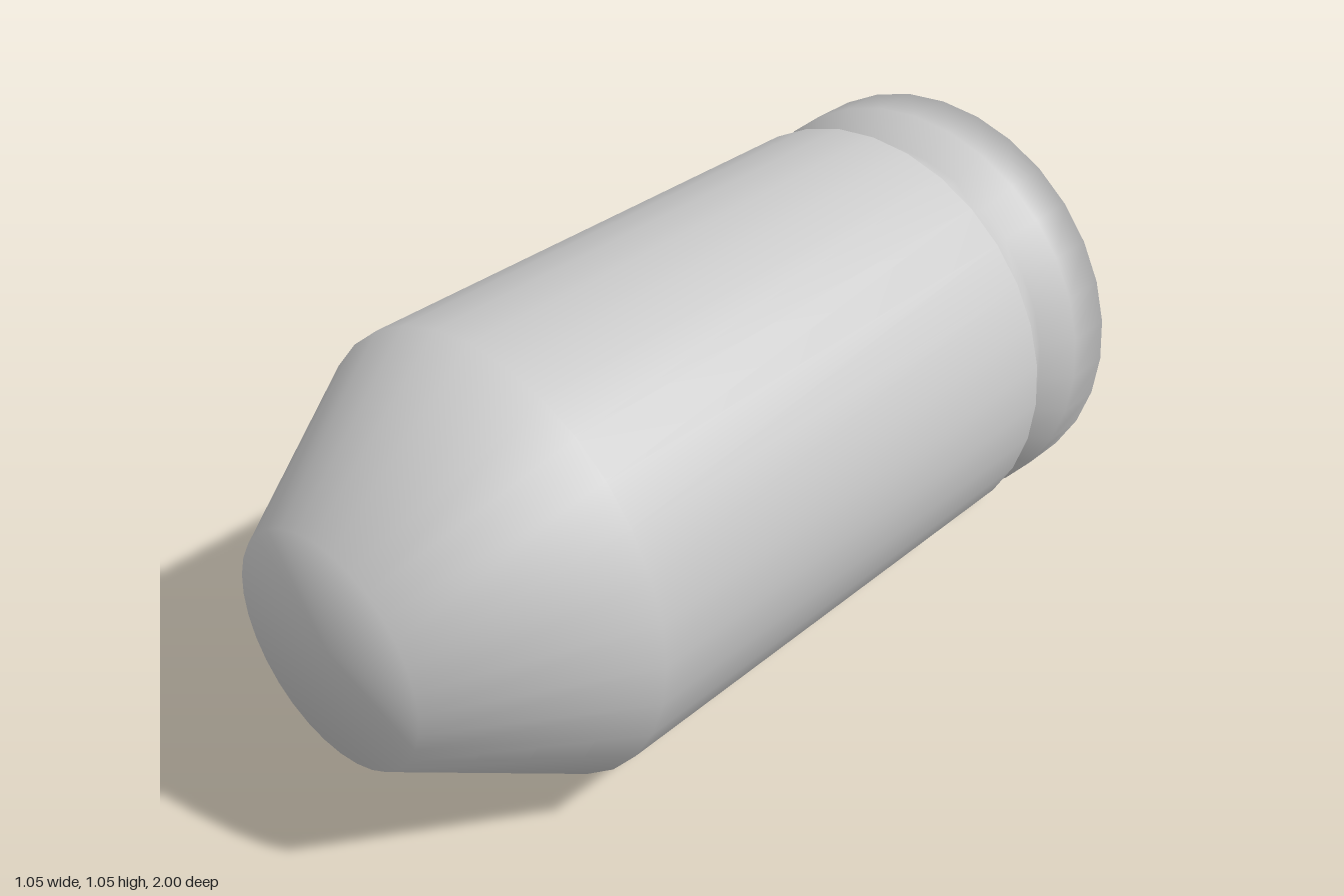
import * as THREE from 'three';

const SIDES = 32;
const RADIUS = 0.526;

// Radius and z along the axis, from the back centre to the front centre
const PROFILE = [
  [0, -1],
  [RADIUS, -1],     // rear rim
  [RADIUS, -0.88],
  [0.465, -0.82],   // extractor groove
  [0.474, -0.775],
  [RADIUS, -0.715], // straight body
  [RADIUS, 0.58],
  [0.272, 1],       // tapered nose
  [0, 1],
];

export function createModel() {
  const group = new THREE.Group();
  group.name = 'cartridge';

  // One smooth turned body, laid along z
  const geometry = new THREE.LatheGeometry(
    PROFILE.map(([r, z]) => new THREE.Vector2(r, z)), SIDES);
  geometry.rotateX(Math.PI / 2);
  geometry.translate(0, RADIUS, 0);

  const body = new THREE.Mesh(geometry, new THREE.MeshStandardMaterial({ color: 0xcccccc }));
  body.name = 'casing';
  group.add(body);
  return group;
}
